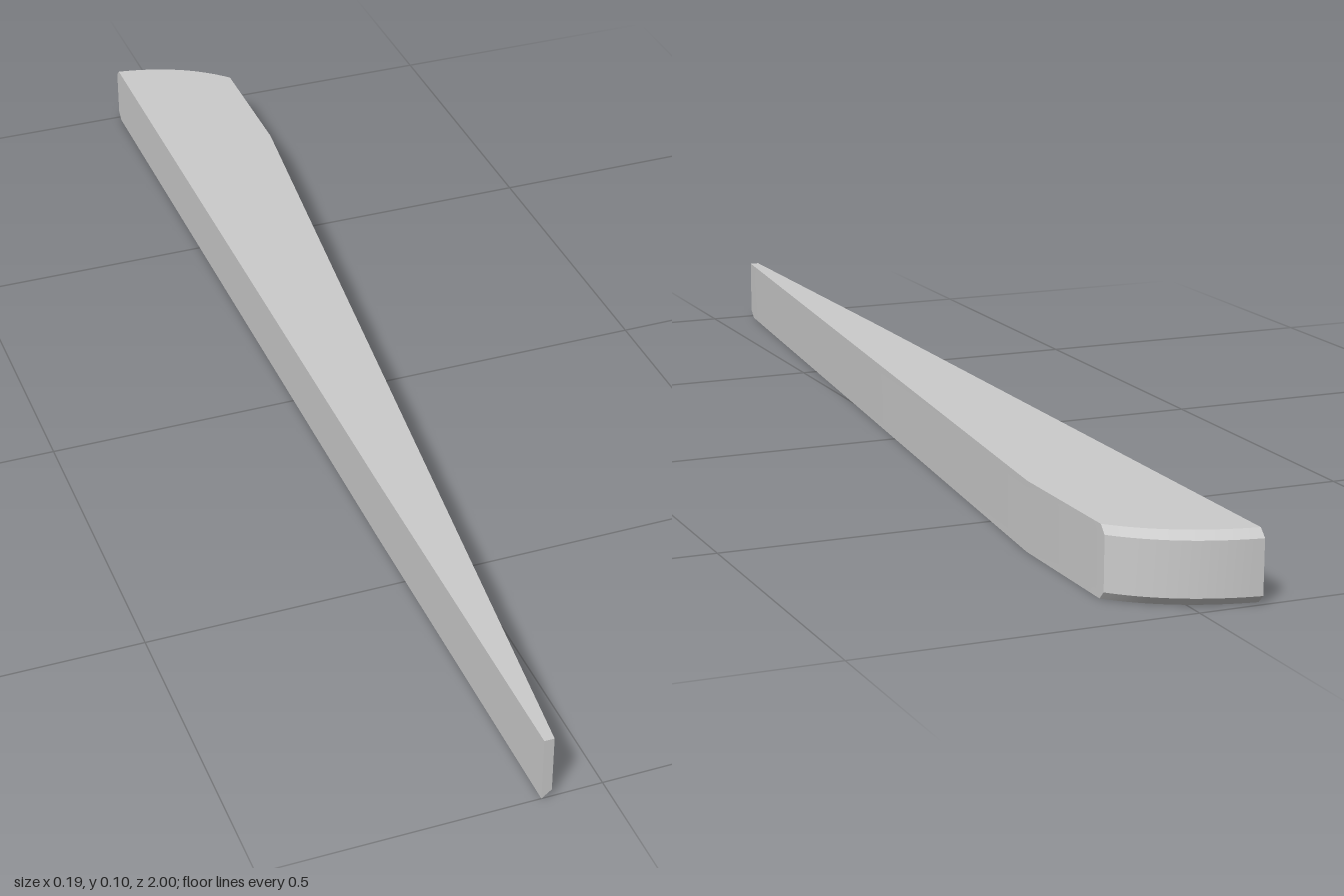
import * as THREE from 'three';
import { toCreasedNormals } from 'three/addons/utils/BufferGeometryUtils.js';

const HEIGHT = 0.104, BEVEL = 0.012, ARC_STEPS = 16;

// Plan outline as [x, z], counter-clockwise seen from above; inset trims the curved butt end.
function outline(inset, tipCut) {
  const butt = new THREE.QuadraticBezierCurve(
    new THREE.Vector2(0.094, -0.905), new THREE.Vector2(0.025, -0.983), new THREE.Vector2(-0.095, -1));
  return [
    [-0.095, 0.38], [-0.091, 1],
    [-0.076 + tipCut * 0.102, 1 - tipCut],
    [0.094, -0.66],
    ...butt.getPoints(ARC_STEPS).map(p => [p.x, p.y + inset]),
  ];
}

// Stack the outlines into a closed solid
function wedgeGeometry() {
  const levels = [
    { y: 0, pts: outline(BEVEL, 0.02) },
    { y: BEVEL, pts: outline(0, 0) },
    { y: HEIGHT - BEVEL, pts: outline(0, 0) },
    { y: HEIGHT, pts: outline(BEVEL, 0) },
  ];
  const pos = [];
  const put = (level, i) => pos.push(level.pts[i][0], level.y, level.pts[i][1]);

  // Side walls and bevels
  for (let k = 0; k < levels.length - 1; k++) {
    const lo = levels[k], hi = levels[k + 1], n = lo.pts.length;
    for (let i = 0; i < n; i++) {
      const j = (i + 1) % n;
      put(lo, i); put(lo, j); put(hi, j);
      put(lo, i); put(hi, j); put(hi, i);
    }
  }

  // Flat top and bottom
  const cap = (level, up) => {
    const contour = level.pts.map(([x, z]) => new THREE.Vector2(x, -z));
    for (const [a, b, c] of THREE.ShapeUtils.triangulateShape(contour, [])) {
      for (const i of up ? [a, b, c] : [a, c, b]) put(level, i);
    }
  };
  cap(levels[3], true);
  cap(levels[0], false);

  const geometry = new THREE.BufferGeometry();
  geometry.setAttribute('position', new THREE.Float32BufferAttribute(pos, 3));
  return toCreasedNormals(geometry, 0.35);
}

export function createModel() {
  const grey = new THREE.MeshStandardMaterial({ color: 0xcccccc });
  grey.name = 'light grey';

  const wedge = new THREE.Mesh(wedgeGeometry(), grey);
  wedge.name = 'taperedWedge';

  const model = new THREE.Group();
  model.name = 'wedge';
  model.add(wedge);
  return model;
}
